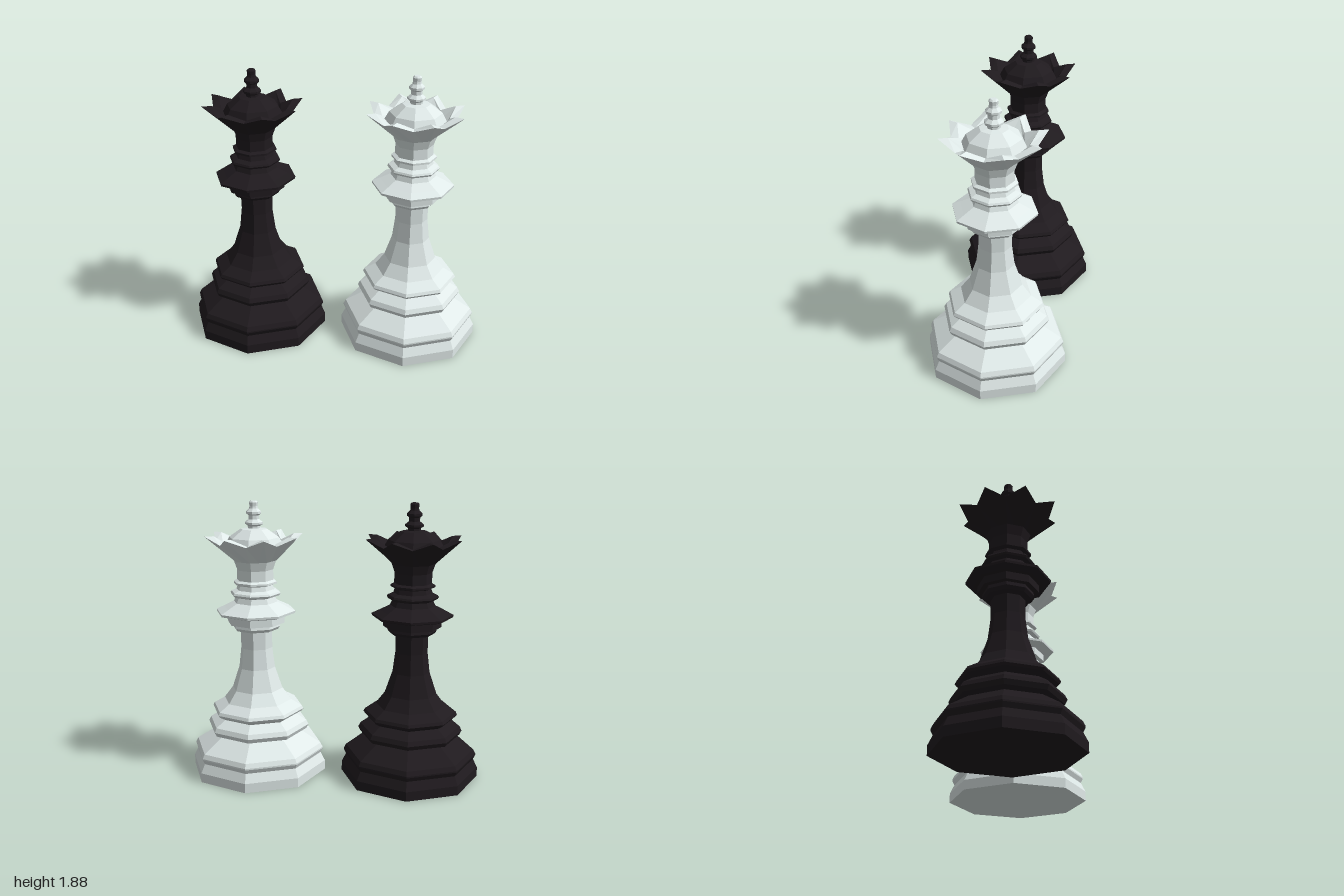
import * as THREE from 'three';

// Profiles are [radius, height] from bottom to top
const BASE = [[0, 0], [0.47, 0], [0.47, 0.065], [0.44, 0.125], [0.455, 0.155], [0.455, 0.165], [0.44, 0.195], [0.3, 0.285]];
const STEPS = [[0.3, 0.285], [0.34, 0.3], [0.355, 0.33], [0.34, 0.36], [0.27, 0.405], [0.31, 0.43], [0.32, 0.445], [0.31, 0.465], [0.235, 0.51]];
const STEM = [[0.235, 0.51], [0.175, 0.59], [0.125, 0.74], [0.108, 0.88], [0.11, 1.0]];
const COLLAR = [
  [0.11, 1.0], [0.15, 1.01], [0.165, 1.03], [0.16, 1.055], [0.195, 1.055], [0.195, 1.105],
  [0.22, 1.11], [0.27, 1.125], [0.272, 1.14], [0.22, 1.165], [0.15, 1.2],
  [0.135, 1.235], [0.165, 1.245], [0.172, 1.258], [0.165, 1.27], [0.13, 1.285],
  [0.12, 1.315], [0.148, 1.325], [0.148, 1.338], [0.125, 1.35],
];
const NECK = [[0.125, 1.35], [0.124, 1.42], [0.145, 1.48]];
const DOME = [[0.2, 1.58], [0.17, 1.635], [0.09, 1.69], [0, 1.7]];
const FINIAL = [
  [0.042, 1.68], [0.042, 1.71], [0.06, 1.722], [0.06, 1.735], [0.036, 1.755], [0.036, 1.78],
  [0.05, 1.79], [0.05, 1.805], [0.03, 1.825], [0.027, 1.84], [0.03, 1.865], [0.02, 1.875], [0, 1.875],
];

const turned = (profile) =>
  new THREE.LatheGeometry(profile.map(([r, y]) => new THREE.Vector2(r, y)), 8);

// Flared crown wall: sixteen columns alternating between valley and tip sections
function crownGeometry() {
  const valley = [[0.145, 1.48], [0.265, 1.6], [0.215, 1.6], [0.2, 1.58]];
  const tip = [[0.134, 1.48], [0.333, 1.65], [0.27, 1.65], [0.185, 1.58]];
  const geo = new THREE.LatheGeometry(valley.map(([r, y]) => new THREE.Vector2(r, y)), 16);
  const pos = geo.attributes.position;
  for (let col = 0; col <= 16; col++) {
    const section = col % 2 ? tip : valley;
    const a = (col * Math.PI) / 8;
    section.forEach(([r, y], j) =>
      pos.setXYZ(col * section.length + j, r * Math.sin(a), y, r * Math.cos(a)));
  }
  geo.computeVertexNormals();
  return geo;
}

function chessPiece(name, color, x) {
  const piece = new THREE.Group();
  piece.name = name;
  piece.position.x = x;
  const material = new THREE.MeshStandardMaterial({ color, flatShading: true, side: THREE.DoubleSide });
  const parts = {
    base: turned(BASE),
    steppedFoot: turned(STEPS),
    stem: turned(STEM),
    collar: turned(COLLAR),
    neck: turned(NECK),
    crown: crownGeometry(),
    dome: turned(DOME),
    finial: turned(FINIAL),
  };
  for (const [part, geometry] of Object.entries(parts)) {
    const mesh = new THREE.Mesh(geometry, material);
    mesh.name = part;
    piece.add(mesh);
  }
  return piece;
}

export function createModel() {
  const model = new THREE.Group();
  model.name = 'chessQueens';
  model.add(chessPiece('whiteQueen', 0xdfe9e8, 0.53), chessPiece('blackQueen', 0x1f1a1e, -0.53));
  return model;
}
